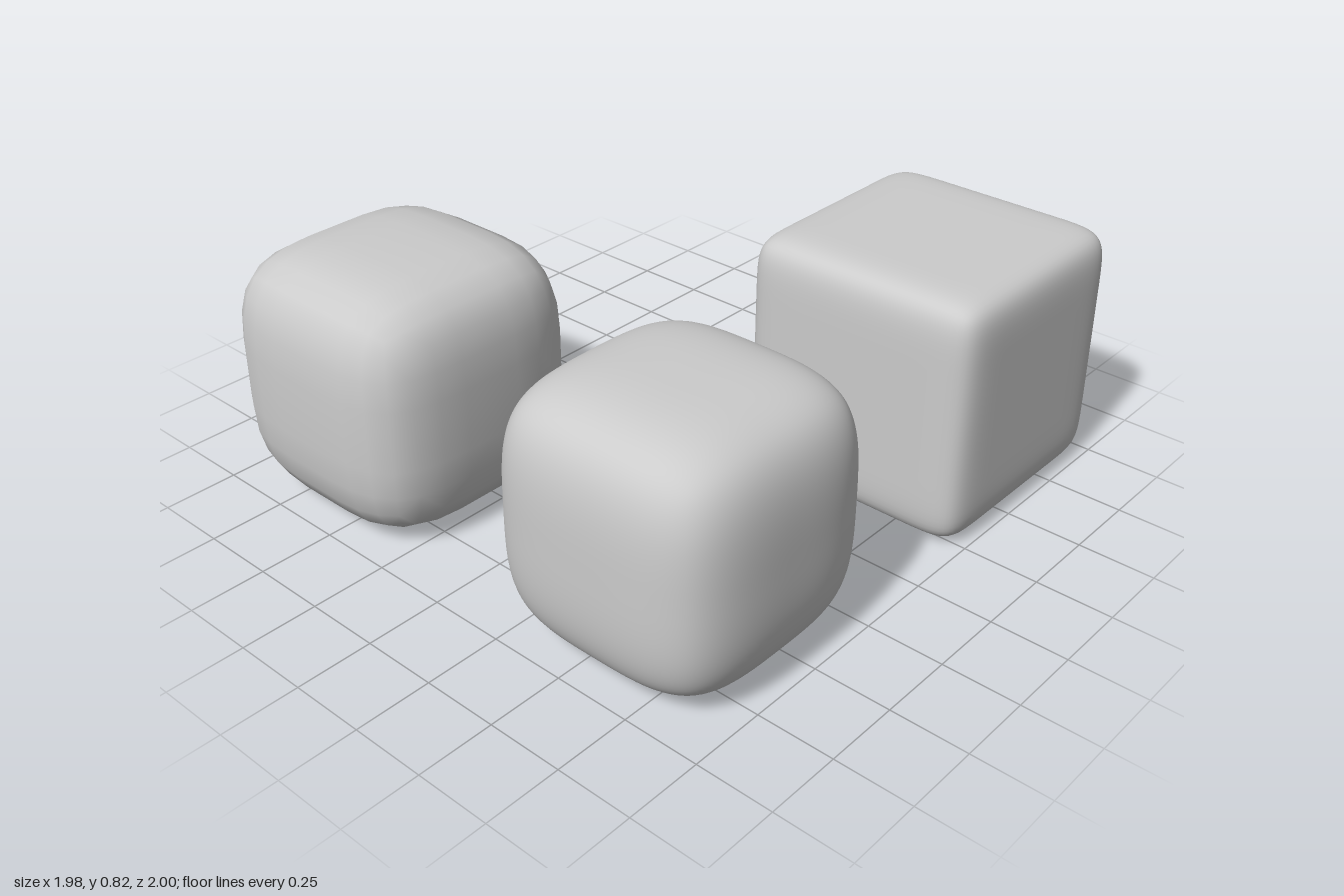
import * as THREE from 'three';
import { mergeVertices } from 'three/addons/utils/BufferGeometryUtils.js';

const HALF = 0.412;

// Cage: a cube of quads; inner edge loops are moved to +-loop
function cubeCage(segments, loop) {
  const box = new THREE.BoxGeometry(2, 2, 2, segments, segments, segments);
  box.deleteAttribute('uv');
  box.deleteAttribute('normal');
  const merged = mergeVertices(box, 1e-4);
  const place = (c) => (Math.abs(c) > 0.99 ? Math.sign(c) : Math.abs(c) < 0.01 ? 0 : Math.sign(c) * loop);
  const p = merged.attributes.position;
  const points = [];
  for (let i = 0; i < p.count; i++) {
    points.push(new THREE.Vector3(place(p.getX(i)), place(p.getY(i)), place(p.getZ(i))));
  }
  const id = merged.index.array;
  const quads = [];
  for (let i = 0; i < id.length; i += 6) quads.push([id[i], id[i + 1], id[i + 4], id[i + 2]]);
  return { points, quads };
}

// One Catmull-Clark step on a closed quad mesh
function subdivide({ points, quads }) {
  const count = points.length;
  const out = points.map(() => new THREE.Vector3());
  const edges = new Map();
  const faceSum = points.map(() => new THREE.Vector3());
  const edgeSum = points.map(() => new THREE.Vector3());
  const valence = new Array(count).fill(0);
  const centres = [];

  // Face points, and the edges around each face
  for (const q of quads) {
    const centre = new THREE.Vector3();
    q.forEach((v) => centre.addScaledVector(points[v], 0.25));
    centres.push(out.push(centre) - 1);
    q.forEach((a, k) => {
      const b = q[(k + 1) % 4];
      const key = Math.min(a, b) * count + Math.max(a, b);
      if (!edges.has(key)) edges.set(key, { a, b, sum: new THREE.Vector3() });
      edges.get(key).sum.add(centre);
      faceSum[a].add(centre);
      valence[a]++;
    });
  }

  // Edge points
  for (const e of edges.values()) {
    const ends = points[e.a].clone().add(points[e.b]);
    edgeSum[e.a].addScaledVector(ends, 0.5);
    edgeSum[e.b].addScaledVector(ends, 0.5);
    e.index = out.push(ends.add(e.sum).multiplyScalar(0.25)) - 1;
  }

  // Smoothed old points
  for (let i = 0; i < count; i++) {
    const n = valence[i];
    out[i].copy(points[i]).multiplyScalar((n - 3) / n)
      .addScaledVector(faceSum[i], 1 / (n * n))
      .addScaledVector(edgeSum[i], 2 / (n * n));
  }

  const edgeIndex = (a, b) => edges.get(Math.min(a, b) * count + Math.max(a, b)).index;
  const next = [];
  quads.forEach((q, f) => q.forEach((v, k) => {
    next.push([v, edgeIndex(v, q[(k + 1) % 4]), centres[f], edgeIndex(q[(k + 3) % 4], v)]);
  }));
  return { points: out, quads: next };
}

function softCube(segments, loop, levels) {
  let mesh = cubeCage(segments, loop);
  for (let i = 0; i < levels; i++) mesh = subdivide(mesh);
  const geometry = new THREE.BufferGeometry().setFromPoints(mesh.points);
  geometry.setIndex(mesh.quads.flatMap(([a, b, c, d]) => [a, b, d, b, c, d]));
  geometry.scale(HALF, HALF, HALF);
  geometry.computeVertexNormals();
  return geometry;
}

export function createModel() {
  const group = new THREE.Group();
  group.name = 'roundedCubes';
  const material = new THREE.MeshStandardMaterial({ color: 0xcccccc });

  const add = (name, geometry, x, z) => {
    const mesh = new THREE.Mesh(geometry, material);
    mesh.name = name;
    mesh.position.set(x, HALF, z);
    group.add(mesh);
  };

  add('coarseSoftCube', softCube(2, 0, 2), -0.58, 0.588);
  add('fineSoftCube', softCube(2, 0, 4), 0.58, 0.588);
  add('tightEdgedCube', softCube(3, 0.58, 3), 0.58, -0.588);
  return group;
}
